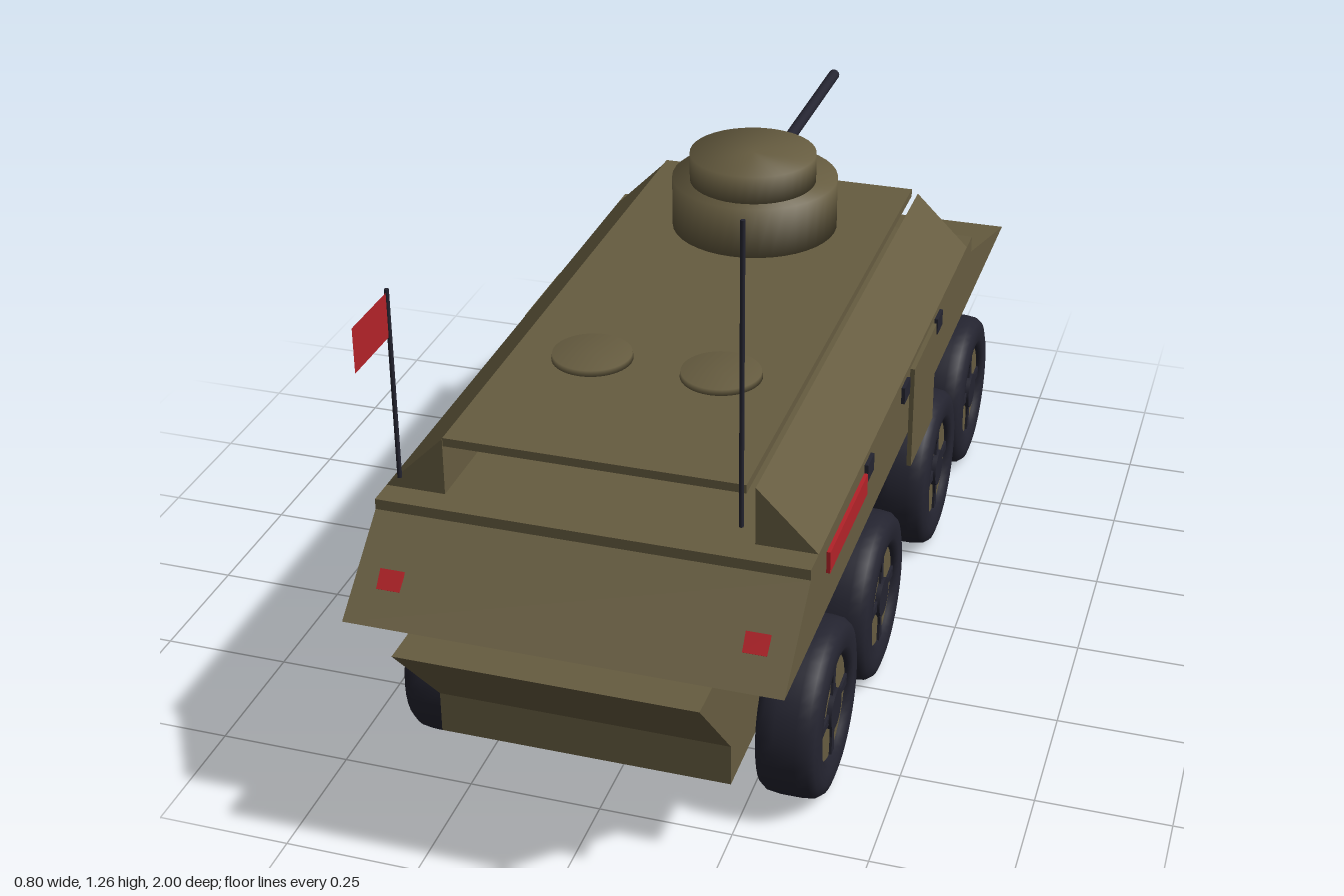
import * as THREE from 'three';
import { mergeVertices } from 'three/addons/utils/BufferGeometryUtils.js';

const material = (name, color) => Object.assign(new THREE.MeshStandardMaterial({ color }), { name });

export function createModel() {
  const olive = material('olive paint', 0x665c40);
  const dark = material('dark rubber and steel', 0x242430);
  const red = material('red paint', 0xb22228);
  const flagRed = material('red cloth', 0xb22229);
  flagRed.side = THREE.DoubleSide;

  const model = new THREE.Group();
  model.name = 'armouredCarrier';

  function add(name, geometry, mat, x = 0, y = 0, z = 0, parent = model) {
    const mesh = new THREE.Mesh(geometry, mat);
    mesh.name = name;
    mesh.position.set(x, y, z);
    parent.add(mesh);
    return mesh;
  }
  const box = (w, h, d) => new THREE.BoxGeometry(w, h, d);
  const shape = (points) => new THREE.Shape(points.map(([a, b]) => new THREE.Vector2(a, b)));

  // Side profile given as (z, y), extruded across the vehicle
  function crossHull(points, halfWidth) {
    const g = new THREE.ExtrudeGeometry(shape(points), { depth: 2 * halfWidth, bevelEnabled: false });
    return g.rotateY(-Math.PI / 2).translate(halfWidth, 0, 0);
  }
  // Cylinder with softly shaded caps
  function softCylinder(rTop, rBottom, h, segments = 40) {
    const g = new THREE.CylinderGeometry(rTop, rBottom, h, segments);
    g.deleteAttribute('normal');
    g.deleteAttribute('uv');
    const merged = mergeVertices(g);
    merged.computeVertexNormals();
    return merged;
  }

  // Hull
  add('upperHull', crossHull([
    [0.93, 0.45], [0.77, 0.58], [0.77, 0.6], [-0.58, 0.6], [-0.58, 0.565], [-0.97, 0.45],
  ], 0.39), olive);
  add('lowerHull', crossHull([
    [1.0, 0.45], [-0.58, 0.45], [-0.58, 0.17], [0.82, 0.17], [0.82, 0.25],
  ], 0.268), olive);
  add('noseWedge', crossHull([[-0.605, 0.45], [-0.97, 0.45], [-0.605, 0.17]], 0.268), olive);
  add('trimVane', crossHull([
    [-0.935, 0.43], [-0.95, 0.435], [-1.0, 0.355], [-0.985, 0.345],
  ], 0.268), olive);

  // Roof plate between two sloping side wedges
  add('roofPlate', box(0.54, 0.016, 1.25), olive, 0, 0.717, 0.115);
  for (const s of [1, -1]) {
    const wedge = new THREE.ExtrudeGeometry(
      shape([[0.28 * s, 0.6], [0.39 * s, 0.6], [0.28 * s, 0.71]]),
      { depth: 1.245, bevelEnabled: false });
    add('roofSideWedge', wedge, olive, 0, 0, -0.525);
    add('roofHatch', softCylinder(0.073, 0.075, 0.012), olive, 0.122 * s, 0.73, 0.39);
  }

  // Turret and gun
  const turret = new THREE.Group();
  turret.name = 'turret';
  model.add(turret);
  add('turretBase', softCylinder(0.167, 0.167, 0.105), olive, 0, 0.777, -0.255, turret);
  add('turretCap', softCylinder(0.127, 0.127, 0.06), olive, 0, 0.857, -0.24, turret);
  const alongZ = (r, l) => new THREE.CylinderGeometry(r, r, l, 20).rotateX(Math.PI / 2);
  add('gunMantlet', alongZ(0.019, 0.1), olive, 0, 0.805, -0.445, turret);
  add('gunBarrel', alongZ(0.012, 0.41), dark, 0, 0.805, -0.7, turret);

  // Side fittings and tail lights
  for (const s of [1, -1]) {
    add('sideDoor', box(0.009, 0.215, 0.2), olive, 0.3945 * s, 0.482, -0.08);
    for (const z of [0.37, 0.072, -0.227]) {
      add('viewPort', box(0.008, 0.034, 0.047), dark, 0.393 * s, 0.57, z);
    }
    add('sideStripe', box(0.008, 0.042, 0.27), red, 0.393 * s, 0.55, 0.53);
    const light = add('tailLight', box(0.042, 0.036, 0.009), red, 0.325 * s, 0.505, 0.865);
    light.rotation.x = -Math.atan2(0.13, 0.16) * 0.99;
    light.position.set(0.325 * s, 0.505, 0.866);
  }

  // Antenna and flag
  const pole = (l) => new THREE.CylinderGeometry(0.004, 0.004, l, 10);
  add('antenna', pole(0.54), dark, 0.295, 0.99, 0.857);
  add('flagPole', pole(0.35), dark, -0.298, 0.885, 0.857);
  add('flag', new THREE.PlaneGeometry(0.133, 0.08).rotateY(Math.PI / 2), flagRed, -0.298, 1.015, 0.924);

  // Wheels: tyre ring, hub disc, tapered cross spokes
  const tyreProfile = [
    [0.098, -0.05], [0.115, -0.058], [0.138, -0.059], [0.155, -0.054], [0.164, -0.042], [0.167, -0.02],
    [0.167, 0.02], [0.164, 0.042], [0.155, 0.054], [0.138, 0.059], [0.115, 0.058], [0.098, 0.05],
    [0.098, -0.05],
  ].map(([r, y]) => new THREE.Vector2(r, y));
  const tyre = new THREE.LatheGeometry(tyreProfile, 40).rotateZ(-Math.PI / 2);
  const alongX = (r, l) => new THREE.CylinderGeometry(r, r, l, 32).rotateZ(-Math.PI / 2);
  const hub = alongX(0.1, 0.09);
  const boss = alongX(0.038, 0.11);
  const spoke = new THREE.ExtrudeGeometry(
    shape([[-0.014, 0.02], [0.014, 0.02], [0.007, 0.06], [0.011, 0.096], [-0.011, 0.096], [-0.007, 0.06]]),
    { depth: 0.1, bevelEnabled: false }).translate(0, 0, -0.05).rotateY(Math.PI / 2);

  for (const z of [0.555, 0.178, -0.335, -0.69]) {
    add('axle', alongX(0.016, 0.6), dark, 0, 0.167, z);
    for (const s of [1, -1]) {
      const wheel = new THREE.Group();
      wheel.name = 'wheel';
      wheel.position.set(0.334 * s, 0.168, z);
      model.add(wheel);
      add('tyre', tyre, dark, 0, 0, 0, wheel);
      add('hubDisc', hub, olive, 0, 0, 0, wheel);
      add('hubBoss', boss, dark, 0, 0, 0, wheel);
      for (let i = 0; i < 4; i++) {
        add('spoke', spoke, dark, 0, 0, 0, wheel).rotation.x = i * Math.PI / 2;
      }
    }
  }
  return model;
}
